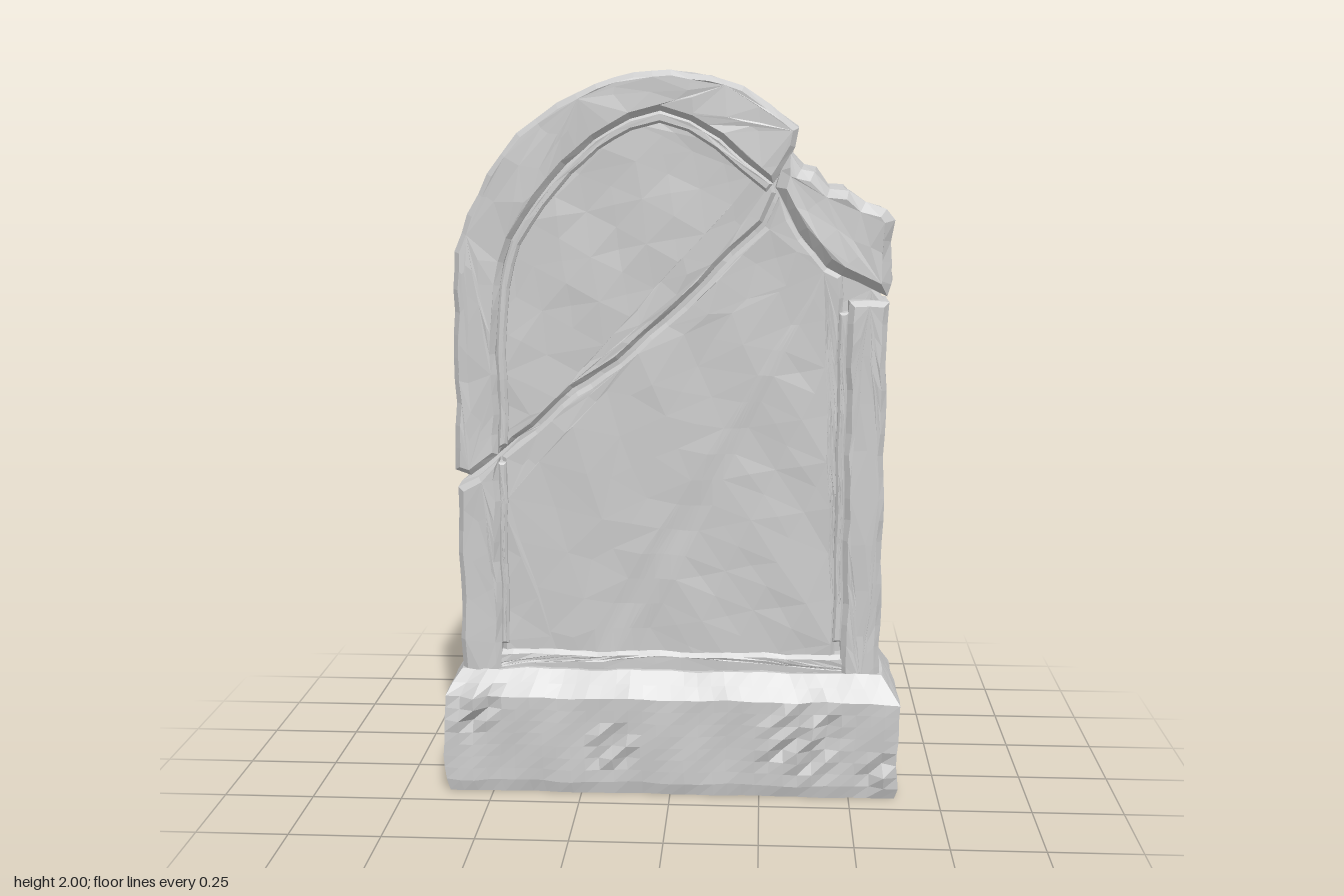
import * as THREE from 'three';

const stone = new THREE.MeshStandardMaterial({ color: 0xcccccc, flatShading: true });

// Smooth weathering offset for a point
function weather(p, amp) {
  const { x, y, z } = p;
  p.x += amp * (Math.sin(23 * y + 11 * z) + 0.6 * Math.sin(51 * y - 37 * z + 9 * x)) * 0.6;
  p.y += amp * (Math.sin(21 * x + 17 * z + 1) + 0.6 * Math.sin(47 * x - 33 * z)) * 0.5;
  p.z += amp * (Math.sin(19 * x + 13 * y) + 0.7 * Math.sin(43 * x - 31 * y + 2)) * 0.5;
}

// Insert points along a closed outline
function subdivide(pts, step) {
  return pts.flatMap((a, i) => {
    const b = pts[(i + 1) % pts.length];
    const n = Math.max(1, Math.round(Math.hypot(b[0] - a[0], b[1] - a[1]) / step));
    return Array.from({ length: n }, (_, k) =>
      new THREE.Vector2(a[0] + (b[0] - a[0]) * k / n, a[1] + (b[1] - a[1]) * k / n));
  });
}

// Split triangles until no edge is longer than the limit
function splitLong(geo, limit) {
  const src = geo.attributes.position, out = [];
  const split = (a, b, c) => {
    const ab = a.distanceTo(b), bc = b.distanceTo(c), ca = c.distanceTo(a);
    const longest = Math.max(ab, bc, ca);
    if (!(longest > limit)) {
      for (const v of [a, b, c]) out.push(v.x, v.y, v.z);
      return;
    }
    // Turn the corners so that the longest edge is p-q
    const [p, q, r] = ab === longest ? [a, b, c] : bc === longest ? [b, c, a] : [c, a, b];
    const mid = p.clone().add(q).multiplyScalar(0.5);
    split(p, mid, r);
    split(mid, q, r);
  };
  const at = i => new THREE.Vector3().fromBufferAttribute(src, i);
  for (let i = 0; i < src.count; i += 3) split(at(i), at(i + 1), at(i + 2));
  const g = new THREE.BufferGeometry();
  g.setAttribute('position', new THREE.Float32BufferAttribute(out, 3));
  return g;
}

function moveVertices(geo, rule) {
  const pos = geo.attributes.position, p = new THREE.Vector3();
  for (let i = 0; i < pos.count; i++) {
    p.fromBufferAttribute(pos, i);
    rule(p);
    pos.setXYZ(i, p.x, p.y, p.z);
  }
  geo.computeVertexNormals();
  return geo;
}

// Weathered slab of stone with bevelled edges, from z0 to z1
function slab(name, pts, z0, z1, bevel = 0.012, amp = 0.005) {
  const shape = new THREE.Shape(subdivide(pts, 0.06));
  const depth = z1 - z0 - 2 * bevel;
  const geo = new THREE.ExtrudeGeometry(shape, {
    depth, steps: Math.max(1, Math.round(depth / 0.08)), curveSegments: 1,
    bevelEnabled: true, bevelThickness: bevel, bevelSize: bevel, bevelOffset: -bevel, bevelSegments: 1,
  });
  geo.translate(0, 0, z0 + bevel);
  const mesh = new THREE.Mesh(moveVertices(splitLong(geo, 0.14), p => weather(p, amp)), stone);
  mesh.name = name;
  return mesh;
}

const shift = (pts, dx, dy) => pts.map(([x, y]) => [x + dx, y + dy]);
const rect = (x0, x1, y0, y1) => [[x0, y0], [x1, y0], [x1, y1], [x0, y1]];

// Plinth with a sloping shoulder and chipped front
function makePlinth() {
  const geo = new THREE.BoxGeometry(1.27, 0.35, 0.4, 32, 10, 10);
  geo.translate(0, 0.175, -0.015);
  const chips = [[-0.55, 0.24, 0.08], [-0.16, 0.14, 0.07], [0.37, 0.17, 0.13], [0.58, 0.08, 0.06]];
  moveVertices(geo, p => {
    const front = p.z > 0.18;
    const inset = Math.max(0, (p.y - 0.28) / 0.07) * 0.045 + (p.y < 0.01 ? 0.008 : 0);
    p.x *= 1 - inset / 0.635;
    p.z = -0.015 + (p.z + 0.015) * (1 - inset / 0.2);
    const { x, y } = p;
    weather(p, 0.005);
    if (front) for (const [cx, cy, r] of chips) {
      const d = Math.hypot(x - cx, y - cy) / r;
      if (d < 1) p.z += 0.018 * (1 - d * d) * Math.sin(95 * x + 60 * Math.sin(40 * y));
    }
    if (y < 0.01) p.y = 0;
  });
  const mesh = new THREE.Mesh(geo, stone);
  mesh.name = 'plinth';
  return mesh;
}

export function createModel() {
  const group = new THREE.Group();
  group.name = 'gravestone';

  // Outer edge of the arch, up to the break
  const arch = [[-0.59, 1.42], [-0.58, 1.52], [-0.55, 1.62], [-0.49, 1.73], [-0.41, 1.83], [-0.31, 1.91],
    [-0.2, 1.965], [-0.1, 1.99], [0, 1.997], [0.1, 1.985], [0.19, 1.955], [0.26, 1.905], [0.34, 1.85],
    [0.33, 1.80]];
  // Inner edge of the frame
  const inner = [[-0.475, 1.3], [-0.465, 1.43], [-0.43, 1.55], [-0.36, 1.66], [-0.28, 1.75], [-0.2, 1.82],
    [-0.11, 1.87], [-0.03, 1.89], [0.05, 1.87], [0.13, 1.82], [0.2, 1.76], [0.27, 1.7]];
  // Diagonal crack
  const crack = [[-0.47, 0.96], [-0.38, 1.03], [-0.27, 1.14], [-0.14, 1.22], [-0.02, 1.33],
    [0.08, 1.43], [0.17, 1.52], [0.25, 1.59], [0.28, 1.67]];
  const above = shift(crack, -0.004, 0.005), below = shift(crack, 0.004, -0.005);

  // Back body, with the crack opening on its side
  group.add(slab('backBody', [
    [-0.585, 0.3], [0.58, 0.3], [0.58, 1.38], [0.55, 1.42], [0.56, 1.59], [0.44, 1.65], [0.31, 1.74],
    ...[...arch].reverse(), [-0.593, 0.92], [-0.43, 1.0], [-0.592, 0.87],
  ], -0.193, 0.085));

  // Recessed face, split by the crack
  group.add(slab('upperPanel', [...above, ...[...inner].reverse()], 0.03, 0.117));
  group.add(slab('lowerPanel', [
    [-0.475, 0.31], [0.46, 0.31], [0.46, 1.46], [0.42, 1.48], [0.35, 1.56], ...[...below].reverse(),
  ], 0.03, 0.117));

  // Raised frame
  group.add(slab('archFrame', [
    [-0.593, 0.92], [-0.55, 0.905], [-0.475, 0.965], ...inner, [0.3, 1.74], ...[...arch].reverse(),
  ], -0.02, 0.142, 0.015));
  group.add(slab('rightFrameLeg', [[-0.587, 0.31], [-0.475, 0.31], [-0.475, 0.95], [-0.53, 0.9], [-0.592, 0.87]],
    -0.02, 0.14, 0.015));
  group.add(slab('leftFrameLeg', rect(0.475, 0.582, 0.31, 1.39), -0.02, 0.14, 0.015));

  // Narrow step between frame and panel
  const toward = inner.map(([x, y]) => [-0.04 + (x + 0.04) * 0.94, 1.2 + (y - 1.2) * 0.955]);
  group.add(slab('archStep', [[-0.475, 0.98], [-0.449, 0.99], ...toward, ...[...inner].reverse()],
    0.06, 0.13, 0.007, 0.003));
  group.add(slab('rightLegStep', rect(-0.477, -0.455, 0.42, 0.94), 0.06, 0.13, 0.006, 0.003));
  group.add(slab('leftLegStep', rect(0.452, 0.477, 0.44, 1.36), 0.06, 0.13, 0.006, 0.003));
  // Flush foot of the frame
  group.add(slab('frameFoot', rect(-0.56, 0.56, 0.3, 0.4), 0.04, 0.128));

  // Broken shoulder fragment with a ragged top
  group.add(slab('brokenShoulder', [
    [0.275, 1.69], [0.34, 1.58], [0.42, 1.485], [0.5, 1.44], [0.575, 1.405], [0.592, 1.44], [0.59, 1.61],
    [0.565, 1.635], [0.51, 1.65], [0.47, 1.685], [0.42, 1.69], [0.385, 1.735], [0.35, 1.745], [0.32, 1.785],
  ], -0.187, 0.157, 0.025, 0.008));

  group.add(makePlinth());
  return group;
}
